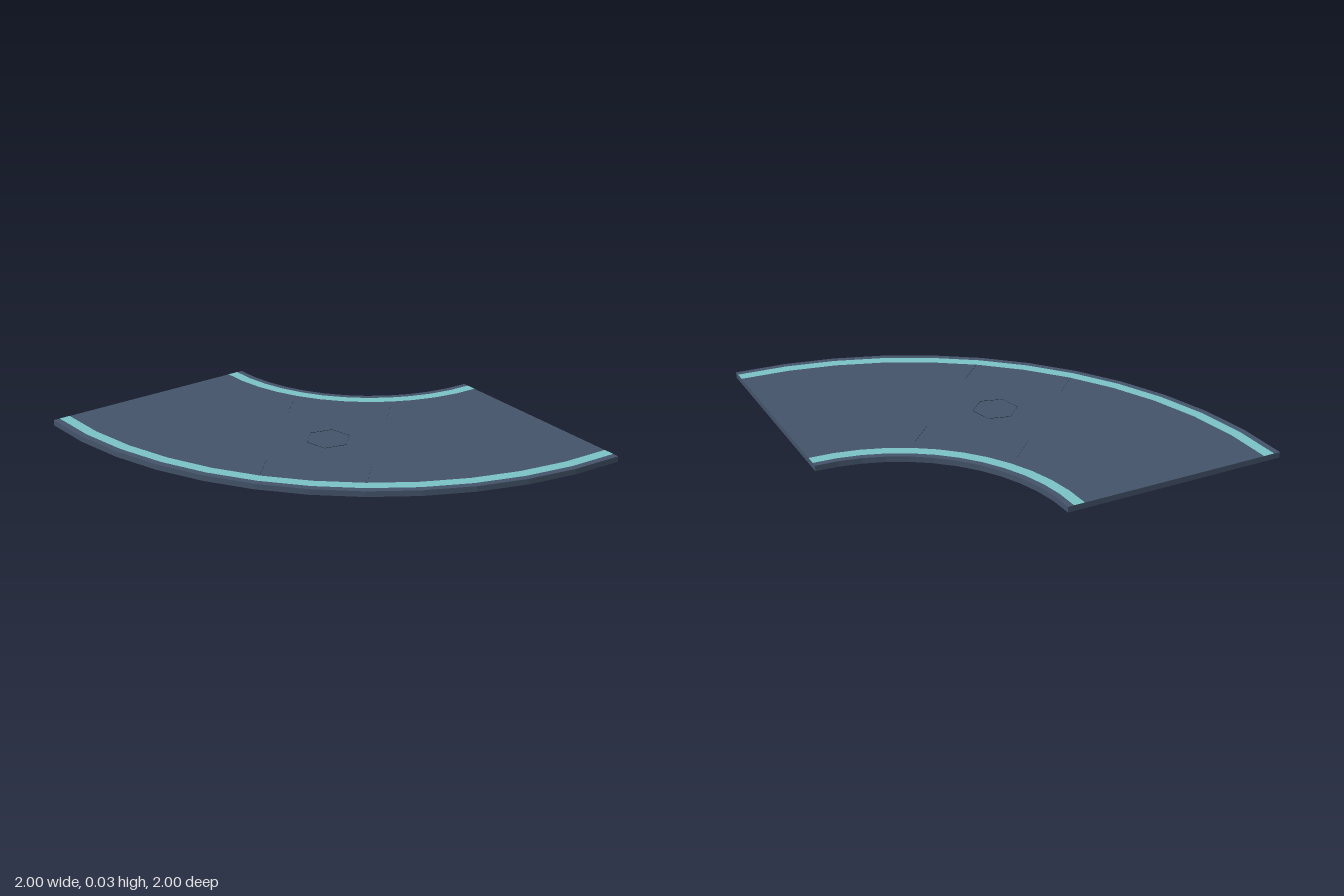
import * as THREE from 'three';

const HEIGHT = 0.029;
const SEGMENTS = 12;

// Faceted quarter ring centred on the corner (1, -1), between two radii
function quarterRing(inner, outer) {
  const points = [];
  const add = (r, i) => {
    const a = Math.PI + (i / SEGMENTS) * (Math.PI / 2);
    points.push(new THREE.Vector2(1 + r * Math.cos(a), 1 + r * Math.sin(a)));
  };
  for (let i = 0; i <= SEGMENTS; i++) add(outer, i);
  for (let i = SEGMENTS; i >= 0; i--) add(inner, i);
  return new THREE.Shape(points);
}

export function createModel() {
  const model = new THREE.Group();
  model.name = 'curvedFloorTile';

  const slate = new THREE.MeshStandardMaterial({ color: 0x44546a });
  slate.name = 'slate blue';
  const teal = new THREE.MeshStandardMaterial({ color: 0x7ac4c8 });
  teal.name = 'pale teal';
  const dark = new THREE.MeshStandardMaterial({ color: 0x1f2731, side: THREE.DoubleSide });
  dark.name = 'dark seam';

  const add = (name, geometry, material, parent = model) => {
    const mesh = new THREE.Mesh(geometry, material);
    mesh.name = name;
    parent.add(mesh);
    return mesh;
  };

  // Slab
  const slab = new THREE.ExtrudeGeometry(quarterRing(0.86, 2), { depth: HEIGHT, bevelEnabled: false });
  add('slab', slab.rotateX(-Math.PI / 2), slate);

  // Painted edge stripes
  for (const [name, inner, outer] of [['innerStripe', 0.89, 0.945], ['outerStripe', 1.91, 1.967]]) {
    const stripe = new THREE.ShapeGeometry(quarterRing(inner, outer));
    add(name, stripe.rotateX(-Math.PI / 2), teal).position.y = HEIGHT + 0.0006;
  }

  // Hairline seams, aligned with the diagonal of the tile
  const seams = new THREE.Group();
  seams.name = 'seams';
  seams.position.set(-0.01, HEIGHT + 0.001, 0.01);
  seams.rotation.y = Math.PI / 4;
  model.add(seams);

  const hub = new THREE.CylinderGeometry(0.113, 0.113, 0.002, 6, 1, true);
  add('centreSeam', hub.rotateY(Math.PI / 2), dark, seams);
  for (const u of [-0.368, 0.368]) {
    for (const v of [-0.255, 0.255]) {
      add('shortSeam', new THREE.PlaneGeometry(0.17, 0.002), dark, seams).position.set(u, 0, v);
    }
  }
  return model;
}
